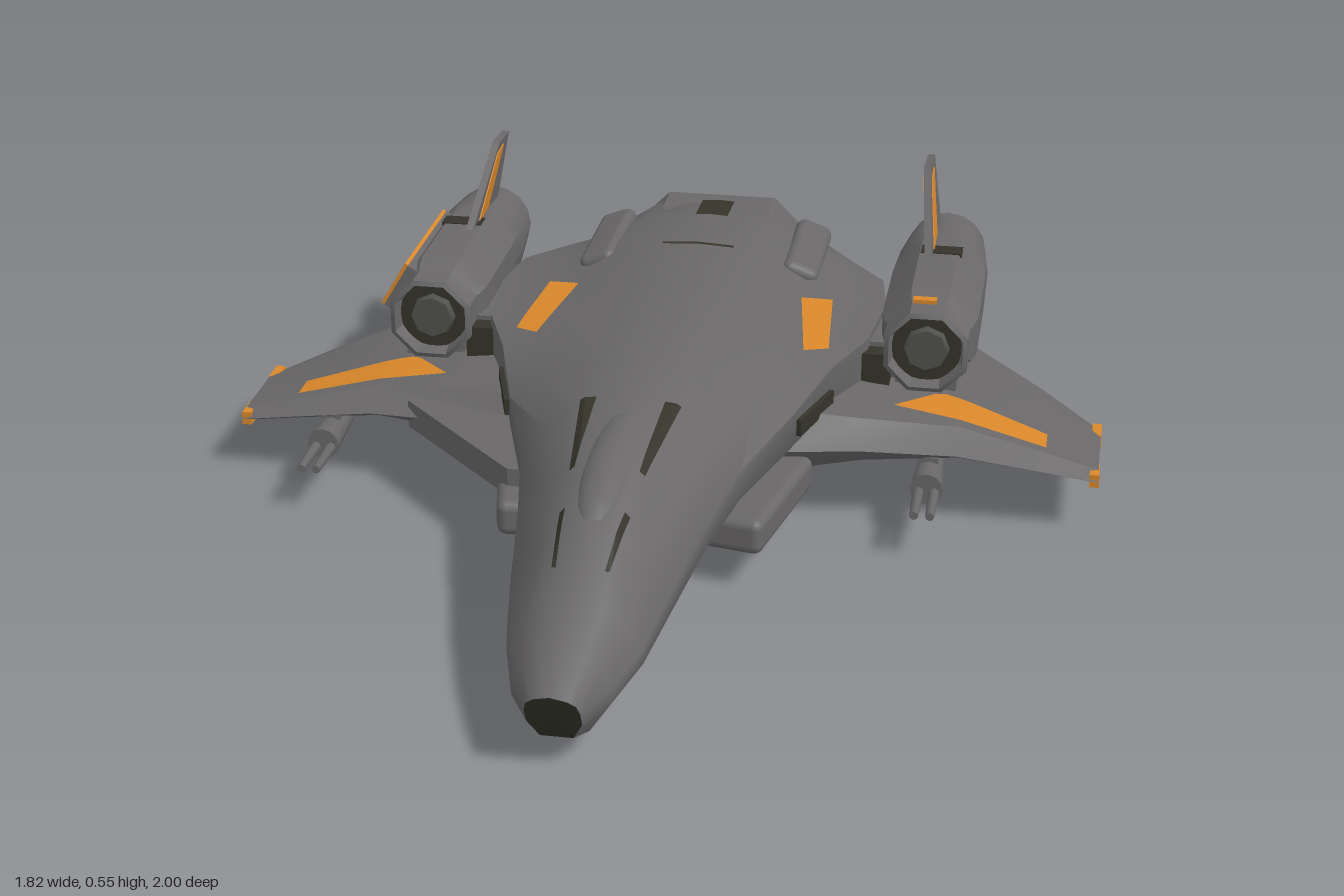
import * as THREE from 'three';
import { toCreasedNormals } from 'three/addons/utils/BufferGeometryUtils.js';
import { RoundedBoxGeometry } from 'three/addons/geometries/RoundedBoxGeometry.js';

const mat = (name, color, side = THREE.FrontSide) => {
  const m = new THREE.MeshStandardMaterial({ color, side });
  m.name = name;
  return m;
};

// Hull stations: z, topY, topX, shoulderX, shoulderY, edgeX, edgeTopY, edgeBottomY, bellyX, bellyY
const HULL = [
  [1.0, .17, .03, .045, .15, .05, .13, .10, .03, .06],
  [.9, .205, .045, .07, .17, .09, .14, .11, .05, .05],
  [.78, .245, .055, .095, .19, .125, .155, .125, .065, .052],
  [.63, .32, .05, .1, .25, .15, .19, .15, .08, .058],
  [.43, .362, .06, .13, .29, .18, .225, .175, .1, .068],
  [.22, .382, .09, .17, .31, .22, .25, .19, .12, .068],
  [0, .385, .11, .22, .31, .29, .27, .2, .14, .07],
  [-.2, .385, .12, .24, .318, .35, .297, .21, .15, .07],
  [-.35, .385, .13, .24, .318, .41, .304, .22, .15, .08],
  [-.55, .385, .14, .24, .32, .43, .302, .225, .16, .105],
  [-.7, .385, .15, .25, .325, .41, .3, .23, .16, .125],
  [-.82, .38, .15, .24, .32, .335, .29, .23, .16, .14],
  [-.93, .375, .14, .21, .32, .262, .28, .23, .16, .155],
  [-.96, .37, .12, .18, .31, .23, .27, .24, .15, .165],
];
// Wing stations: x, leading z, trailing z, topY, bottomY
const WING = [
  [.08, -.04, -.5, .25, .11], [.25, -.04, -.55, .24, .1], [.42, -.08, -.58, .215, .12],
  [.62, -.105, -.69, .195, .125], [.78, -.115, -.53, .16, .112], [.91, -.125, -.38, .13, .10],
];

const lerp = THREE.MathUtils.lerp;
// Interpolated row of a station table at a key value
function rowAt(table, key) {
  let i = 0;
  const dir = Math.sign(table[1][0] - table[0][0]);
  while (i < table.length - 2 && (key - table[i + 1][0]) * dir > 0) i++;
  const a = table[i], b = table[i + 1], t = THREE.MathUtils.clamp((key - a[0]) / (b[0] - a[0]), 0, 1);
  return a.map((v, k) => lerp(v, b[k], t));
}
function hullTop(x, z) {
  const [, ty, tx, sx, sy, ex, ey] = rowAt(HULL, z), r = Math.abs(x);
  if (r < tx) return lerp(ty, ty - .008, r / tx);
  if (r < sx) return lerp(ty - .008, sy, (r - tx) / (sx - tx));
  return lerp(sy, ey, (r - sx) / (ex - sx));
}
const wingTop = x => rowAt(WING, x)[3];

// Skin over closed rings with capped ends; groups: 0 skin, 1 first cap, 2 last cap
function loft(rings, crease) {
  const n = rings[0].length, idx = [], last = (rings.length - 1) * n;
  for (let i = 0; i < rings.length - 1; i++) for (let j = 0; j < n; j++) {
    const a = i * n + j, b = i * n + (j + 1) % n;
    idx.push(a, b, a + n, b, b + n, a + n);
  }
  const skin = idx.length, cap = (n - 2) * 3;
  for (let j = 1; j < n - 1; j++) idx.push(0, j + 1, j);
  for (let j = 1; j < n - 1; j++) idx.push(last, last + j, last + j + 1);
  const g = new THREE.BufferGeometry();
  g.setAttribute('position', new THREE.Float32BufferAttribute(rings.flat(2), 3));
  g.setIndex(idx);
  g.addGroup(0, skin, 0); g.addGroup(skin, cap, 1); g.addGroup(skin + cap, cap, 2);
  return toCreasedNormals(g, crease);
}
// Four-cornered patch laid on a height rule; corners are [x, z]
function patch(c, height) {
  const g = new THREE.PlaneGeometry(1, 1, 8, 8), p = g.attributes.position;
  for (let i = 0; i < p.count; i++) {
    const u = p.getX(i) + .5, v = p.getY(i) + .5;
    const q = k => lerp(lerp(c[0][k], c[1][k], u), lerp(c[3][k], c[2][k], u), v);
    p.setXYZ(i, q(0), height(q(0), q(1)) + .005, q(1));
  }
  g.computeVertexNormals();
  return g;
}
// Mirror in x, keeping faces outward
function mirrored(src) {
  const g = src.index ? src.toNonIndexed() : src.clone();
  g.scale(-1, 1, 1);
  for (const a of Object.values(g.attributes)) for (let i = 0; i < a.count; i += 3)
    for (let k = 0; k < a.itemSize; k++) {
      const t = a.getComponent(i + 1, k);
      a.setComponent(i + 1, k, a.getComponent(i + 2, k));
      a.setComponent(i + 2, k, t);
    }
  return g;
}
const box = (w, h, d, x, y, z, ry = 0, rz = 0) =>
  new THREE.BoxGeometry(w, h, d).rotateZ(rz).rotateY(ry).translate(x, y, z);
const rod = (r0, r1, len, x, y, z, n = 10) =>
  new THREE.CylinderGeometry(r0, r1, len, n).rotateX(Math.PI / 2).translate(x, y, z);
// Upright plate from [z, y] points, centred on x = 0
function upright(pts, depth) {
  const s = new THREE.Shape(pts.map(p => new THREE.Vector2(...p)));
  return new THREE.ExtrudeGeometry(s, { depth, bevelEnabled: false })
    .translate(0, 0, -depth / 2).rotateY(-Math.PI / 2);
}
// Turned barrel that is round at the rear and eight-sided towards the front
function barrel(profile) {
  const g = new THREE.LatheGeometry(profile.map(p => new THREE.Vector2(...p)), 16).rotateX(Math.PI / 2);
  const p = g.attributes.position;
  for (let i = 0; i < p.count; i++) {
    const odd = Math.round(Math.atan2(p.getY(i), p.getX(i)) * 8 / Math.PI) & 1;
    const k = 1 + .08 * odd * THREE.MathUtils.smoothstep(p.getZ(i), -.85, -.65);
    p.setXY(i, p.getX(i) * k, p.getY(i) * k);
  }
  return toCreasedNormals(g, .6);
}

export function createModel() {
  const model = new THREE.Group();
  const grey = mat('hull grey', 0x696768), dark = mat('dark recess', 0x34342b, THREE.DoubleSide);
  const orange = mat('orange marking', 0xd9872a, THREE.DoubleSide);
  const steel = mat('engine steel', 0x50504c);
  const add = (name, g, m) => {
    const mesh = new THREE.Mesh(g, m);
    mesh.name = name;
    model.add(mesh);
  };
  const pair = (name, g, m) => { add(name + 'Left', g, m); add(name + 'Right', mirrored(g), m); };

  // Hull, with a raked dark nose face
  const rings = HULL.map(([z, ty, tx, sx, sy, ex, et, eb, bx, by], i) => {
    const half = [[tx, ty - .008], [sx, sy], [ex, et], [ex, eb], [bx, by]];
    const ring = [[0, ty], ...half, [0, by], ...half.slice().reverse().map(([x, y]) => [-x, y])];
    return ring.map(([x, y]) => [x, y, i ? z : z - .5 * (ty - y)]);
  });
  add('hull', loft(rings, .9), [grey, dark, grey]);

  // Canopy, window strips, top hatch and shoulder markings
  add('canopy', new THREE.SphereGeometry(1, 20, 12).scale(.055, .045, .22).rotateX(.12).translate(0, .328, .42), grey);
  pair('canopyWindow', patch([[.062, .46], [.072, .46], [.1, .21], [.068, .21]], hullTop), dark);
  pair('frontWindow', patch([[.045, .72], [.053, .72], [.066, .58], [.056, .58]], hullTop), dark);
  add('topHatch', patch([[-.037, -.83], [.037, -.83], [.037, -.95], [-.037, -.95]], hullTop), dark);
  add('topSeam', patch([[-.08, -.625], [.08, -.625], [.08, -.637], [-.08, -.637]], hullTop), dark);
  pair('shoulderMarking', patch([[.285, -.24], [.335, -.27], [.315, -.525], [.248, -.51]], hullTop), orange);

  // Rear exhaust frame and dark outlet
  const octagon = (w, h, c) => [[-w, c - h], [-w, h - c], [c - w, h], [w - c, h], [w, h - c], [w, c - h], [w - c, -h], [c - w, -h]]
    .map(p => new THREE.Vector2(...p));
  const frame = new THREE.Shape(octagon(.18, .103, .055));
  frame.holes.push(new THREE.Path(octagon(.118, .084, .035)));
  add('exhaustFrame', new THREE.ExtrudeGeometry(frame, { depth: .12, bevelEnabled: false }).translate(0, .268, -1), grey);
  add('exhaustOutlet', new THREE.ShapeGeometry(new THREE.Shape(octagon(.12, .086, .035))).translate(0, .268, -.985), dark);
  pair('rearBlock', new RoundedBoxGeometry(.085, .08, .3, 2, .02).rotateZ(-.35).translate(.222, .312, -.77), grey);

  // Lower intakes beside the belly
  pair('lowerIntake', new RoundedBoxGeometry(.17, .075, .34, 2, .02).rotateY(-.2).translate(.215, .115, .07), grey);
  pair('lowerIntakeMouth', box(.05, .035, .006, .215, .115, .239, -.2), dark);
  pair('sideVent', box(.03, .035, .17, .318, .235, -.11, -.29), dark);

  // Wings
  const wing = loft(WING.map(([x, f, b, t, u]) => {
    const at = k => lerp(f, b, k), mid = (t + u) / 2;
    return [[x, t, at(.75)], [x, t, at(.12)], [x, mid, f], [x, u, at(.12)], [x, u, at(.75)], [x, mid, b]];
  }), .35);
  pair('wing', wing, grey);
  pair('wingMarking', patch([[.62, -.2], [.8, -.18], [.8, -.245], [.58, -.318]], wingTop), orange);
  pair('wingMarkingInner', patch([[.48, -.222], [.62, -.2], [.58, -.318], [.56, -.31]], wingTop), orange);
  for (const [z, d] of [[-.155, .054], [-.353, .06]]) pair('wingTipMarking', box(.02, .028, d, .902, .116, z), orange);
  add('underWingRecessRight', box(.1, .008, .1, -.48, .121, -.35), dark);

  // Filler between the hull and the right wing's leading edge
  const strake = new THREE.Shape([[-.54, .12], [-.26, -.17], [-.18, -.17], [-.18, .2], [-.54, .2]].map(p => new THREE.Vector2(...p)));
  add('strakeRight', new THREE.ExtrudeGeometry(strake, { depth: .06, bevelEnabled: false })
    .rotateX(-Math.PI / 2).translate(0, .13, 0), grey);

  // Engine nacelles on pylons; the profile runs from rear outlet to front intake
  const X = .535, Y = .298;
  const nacelle = barrel([[0, -.87], [.068, -.87], [.074, -.93], [.088, -.93], [.102, -.79], [.102, -.77], [.102, -.66],
    [.102, -.42], [.094, -.38], [.088, -.37], [.088, -.31], [.078, -.305], [.072, -.345], [0, -.345]]);
  pair('nacelle', nacelle.translate(X, Y, 0), grey);
  pair('nacelleOutlet', rod(.069, .069, .006, X, Y, -.872, 16), dark);
  pair('nacelleIntake', rod(.075, .075, .006, X, Y, -.342, 16), dark);
  pair('outletHub', rod(.04, .025, .04, X, Y, -.89, 12), steel);
  pair('intakeHub', rod(.045, .05, .02, X, Y, -.332, 8), steel);
  pair('nacelleBand', box(.09, .008, .045, X + .005, .398, -.65), dark);
  add('nacelleMarkingLeft', box(.05, .008, .022, .525, .391, -.375), orange);
  add('nacelleMarkingRight', box(.05, .008, .022, -.525, .205, -.375), orange);
  pair('pylon', box(.16, .08, .24, .42, .25, -.49), grey);
  pair('pylonFront', box(.1, .07, .05, .41, .245, -.35), dark);
  pair('pylonRear', box(.1, .07, .05, .42, .245, -.6), dark);
  pair('nacelleSaddle', box(.13, .07, .34, X, .205, -.52), grey);

  // Sloping side panel on the right nacelle
  add('sidePanelBackRight', box(.03, .11, .35, -.613, .34, -.545, 0, -.54), grey);
  add('sidePanelRight', box(.008, .11, .345, -.629, .35, -.545, 0, -.54), orange);

  // Tail fins leaning inward, marked on both faces
  const lean = g => g.translate(0, -.39, 0).rotateZ(.15).translate(.515, .39, 0);
  pair('tailFin', lean(upright([[-.57, .38], [-.78, .546], [-.885, .541], [-.855, .38]], .016)), grey);
  pair('tailFinMarking', lean(upright([[-.65, .4], [-.77, .525], [-.83, .53], [-.74, .405]], .021)), orange);

  // Guns under the wings
  for (const [side, x] of [['Left', .565], ['Right', -.71]]) {
    add('gunPod' + side, rod(.034, .014, .36, x, .107, -.23, 12), grey);
    add('gunMount' + side, box(.035, .04, .16, x, .125, -.2), grey);
    for (const dx of [-.016, .016]) add('gunBarrel' + side, rod(.009, .012, .13, x + dx, .1, -.005, 8), grey);
  }

  // Chin turret
  add('turretBall', new THREE.SphereGeometry(.027, 14, 10).translate(0, .027, .61), grey);
  add('turretMount', new THREE.CylinderGeometry(.022, .016, .035, 12).translate(0, .052, .6), grey);
  add('turretPlate', box(.05, .016, .09, 0, .028, .61), grey);
  return model;
}
